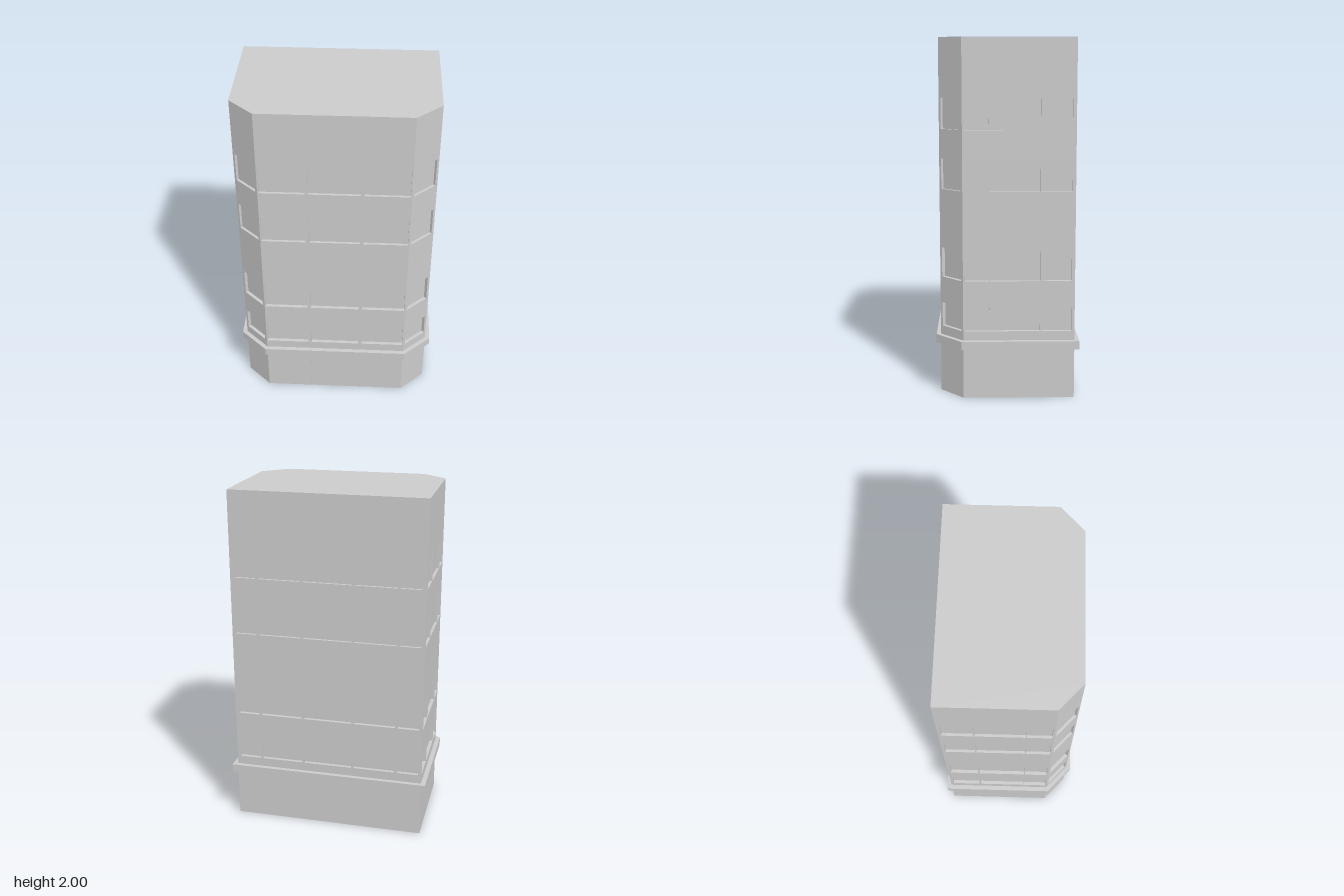
import * as THREE from 'three';

const HEIGHT = 2;
// Plan corners [x, z], walking left to right as seen from outside
const PLAN = [[-0.42, 0.375], [0.42, 0.375], [0.56, 0.245], [0.56, -0.375], [-0.56, -0.375], [-0.56, 0.245]];
const LEDGE_PLAN = [[-0.43, 0.4], [0.43, 0.4], [0.587, 0.255], [0.587, -0.4], [-0.587, -0.4], [-0.587, 0.255]];

// Window rows: bottom, top, recess depth
const ROWS = [[0.385, 0.52, 0.02], [0.67, 0.838, 0.02], [1.17, 1.338, 0.015], [1.503, 1.673, 0.015]];

// Window spans measured along each wall from its first corner
const CHAMFER = [[0.016, 0.175]];
const SIDE = [[0.01, 0.145], [0.15, 0.427], [0.434, 0.602]];
const WALLS = [
  ['frontWall', [[0.007, 0.257], [0.277, 0.563], [0.583, 0.833]]],
  ['frontLeftCornerWall', CHAMFER],
  ['leftWall', SIDE],
  ['backWall', [[0.02, 0.145], [0.16, 0.403], [0.418, 0.702], [0.717, 0.96], [0.975, 1.1]]],
  ['rightWall', SIDE.map(([a, b]) => [0.62 - b, 0.62 - a])],
  ['frontRightCornerWall', CHAMFER],
];

const material = new THREE.MeshStandardMaterial({ color: 0xcccccc, flatShading: true });

function addMesh(parent, name, geometry) {
  const mesh = new THREE.Mesh(geometry, material);
  mesh.name = name;
  parent.add(mesh);
  return mesh;
}

function planShape(points) {
  return new THREE.Shape(points.map(([x, z]) => new THREE.Vector2(x, -z)));
}

// Inward-facing box without its front: reveals plus pane
function recessGeometry(w, h, d) {
  const box = new THREE.BoxGeometry(w, h, d);
  const index = Array.from(box.index.array);
  index.splice(24, 6);
  box.setIndex(index.reverse());
  box.clearGroups();
  const geometry = box.toNonIndexed();
  geometry.computeVertexNormals();
  return geometry;
}

// One wall with rows of recessed windows
function createWall(name, spans, [x0, z0], [x1, z1]) {
  const wall = new THREE.Group();
  wall.name = name;
  wall.position.set(x0, 0, z0);
  wall.rotation.y = Math.atan2(z0 - z1, x1 - x0);
  const length = Math.hypot(x1 - x0, z1 - z0);
  const shape = new THREE.Shape();
  shape.moveTo(0, 0).lineTo(length, 0).lineTo(length, HEIGHT).lineTo(0, HEIGHT).closePath();
  for (const [bottom, top, depth] of ROWS) {
    for (const [a, b] of spans) {
      const hole = new THREE.Path();
      hole.moveTo(a, bottom).lineTo(a, top).lineTo(b, top).lineTo(b, bottom).closePath();
      shape.holes.push(hole);
      addMesh(wall, 'window', recessGeometry(b - a, top - bottom, depth))
        .position.set((a + b) / 2, (bottom + top) / 2, -depth / 2);
    }
  }
  addMesh(wall, 'wallSurface', new THREE.ShapeGeometry(shape));
  return wall;
}

export function createModel() {
  const building = new THREE.Group();
  building.name = 'building';

  WALLS.forEach(([name, spans], i) => {
    building.add(createWall(name, spans, PLAN[i], PLAN[(i + 1) % PLAN.length]));
  });

  // Roof and underside
  const roof = addMesh(building, 'roof', new THREE.ShapeGeometry(planShape(PLAN)));
  roof.rotation.x = -Math.PI / 2;
  roof.position.y = HEIGHT;
  const floor = addMesh(building, 'floor', new THREE.ShapeGeometry(planShape(PLAN.map(([x, z]) => [x, -z]))));
  floor.rotation.x = Math.PI / 2;

  // Ledge above the ground floor
  const ledge = addMesh(building, 'ledge',
    new THREE.ExtrudeGeometry(planShape(LEDGE_PLAN), { depth: 0.047, bevelEnabled: false }));
  ledge.rotation.x = -Math.PI / 2;
  ledge.position.y = 0.286;

  // Thin dividers on the ground floor front
  for (const side of [-1, 1]) {
    addMesh(building, 'shopfrontDivider', new THREE.BoxGeometry(0.003, 0.286, 0.006))
      .position.set(side * 0.15, 0.143, 0.378);
  }
  return building;
}
